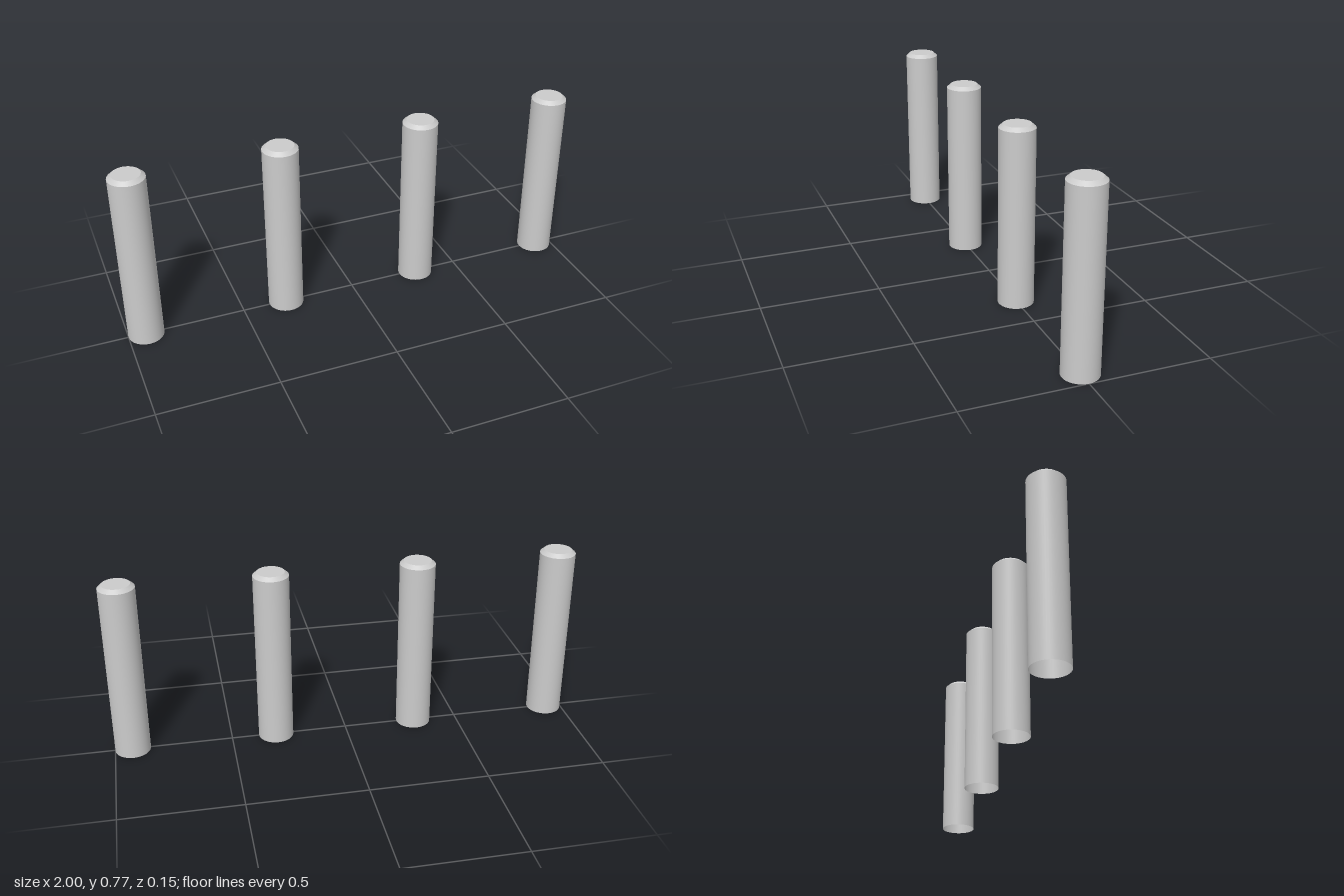
import * as THREE from 'three';

const RADIUS = 0.075, TOP_RADIUS = 0.058, SHOULDER = 0.754, HEIGHT = 0.769, SIDES = 48;

export function createModel() {
  const group = new THREE.Group();
  group.name = 'bollardRow';
  const material = new THREE.MeshStandardMaterial({ color: 0xcccccc, side: THREE.DoubleSide });

  // Straight tube, open at the bottom
  const shaft = new THREE.CylinderGeometry(RADIUS, RADIUS, SHOULDER, SIDES, 1, true)
    .translate(0, SHOULDER / 2, 0);
  // Bevelled rim
  const bevel = new THREE.CylinderGeometry(TOP_RADIUS, RADIUS, HEIGHT - SHOULDER, SIDES, 1, true)
    .translate(0, (SHOULDER + HEIGHT) / 2, 0);
  // Flat top, facing up
  const cap = new THREE.CircleGeometry(TOP_RADIUS, SIDES)
    .rotateX(-Math.PI / 2).translate(0, HEIGHT, 0);

  const parts = { shaft, bevel, cap };

  // Four evenly spaced posts
  for (let i = 0; i < 4; i++) {
    const post = new THREE.Group();
    post.name = `post${i + 1}`;
    post.position.x = (1 - RADIUS) * (i * 2 / 3 - 1);
    for (const [name, geometry] of Object.entries(parts)) {
      const mesh = new THREE.Mesh(geometry, material);
      mesh.name = name;
      post.add(mesh);
    }
    group.add(post);
  }
  return group;
}
